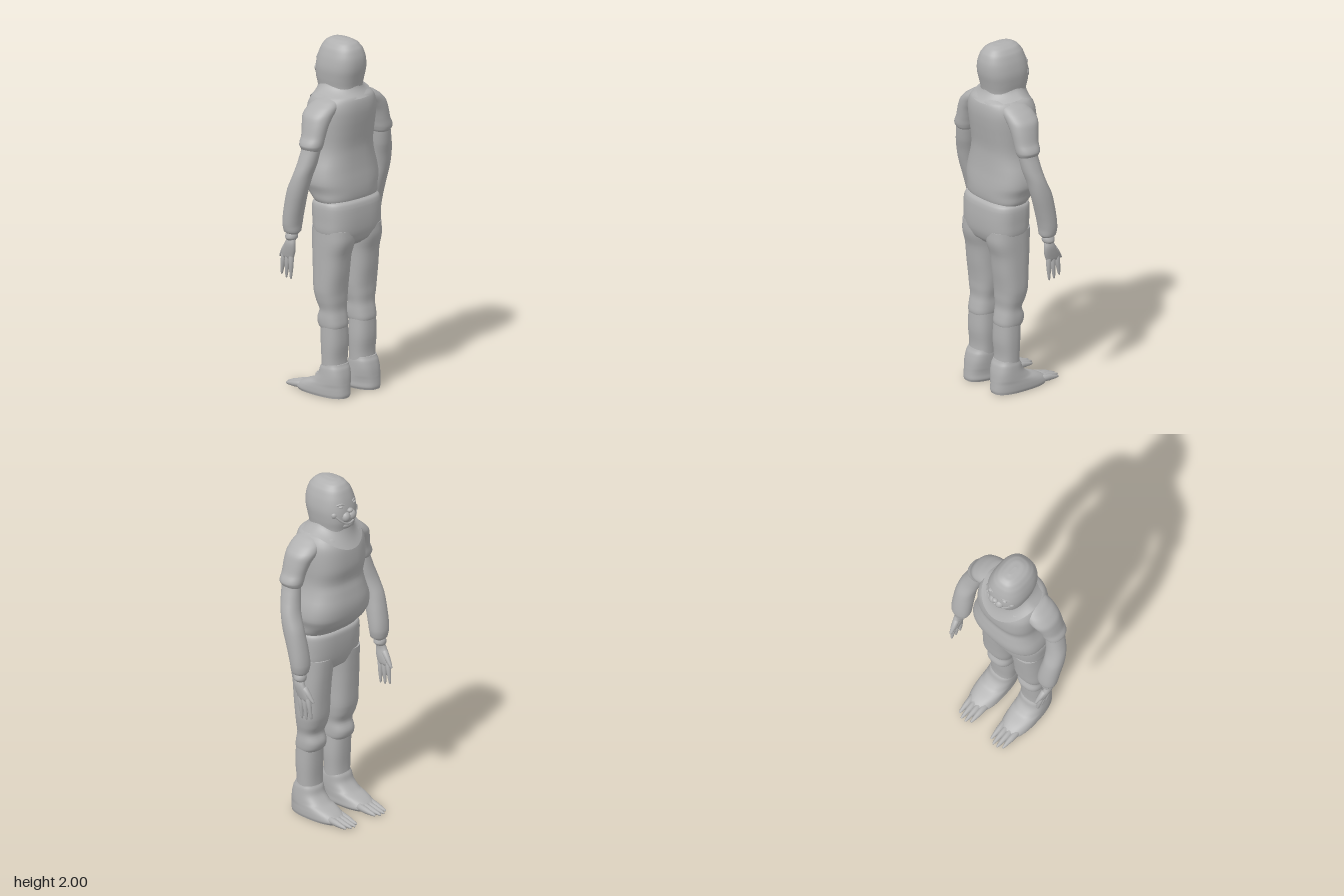
import * as THREE from 'three';

const skin = new THREE.MeshStandardMaterial({ color: 0xb0b0b0 });
skin.name = 'plain grey';
const skinOpen = new THREE.MeshStandardMaterial({ color: 0xb0b0b0, side: THREE.DoubleSide });
skinOpen.name = 'plain grey cloth';

const V = (x, y, z) => new THREE.Vector3(x, y, z);

function add(group, name, geometry, material = skin) {
  const mesh = new THREE.Mesh(geometry, material);
  mesh.name = name;
  group.add(mesh);
  return mesh;
}

// Cubic blend of the values of four neighbouring sections
function blend(a, b, c, d, t) {
  const m0 = (c - a) / 2, m1 = (d - b) / 2, t2 = t * t, t3 = t2 * t;
  return (2 * t3 - 3 * t2 + 1) * b + (t3 - 2 * t2 + t) * m0 + (3 * t2 - 2 * t3) * c + (t3 - t2) * m1;
}

// Smooth body through level sections [y, xMin, xMax, zMin, zMax], listed upwards
function loft(sections, power = 2.5, side = 1, n = 40, steps = 4) {
  const rows = [];
  const last = sections.length - 1;
  const at = (i) => sections[Math.min(last, Math.max(0, i))];
  for (let i = 0; i < last; i++) {
    for (let k = 0; k < steps; k++) {
      rows.push(at(i).map((v, j) => (j === 0
        ? v + (at(i + 1)[0] - v) * k / steps
        : blend(at(i - 1)[j], v, at(i + 1)[j], at(i + 2)[j], k / steps))));
    }
  }
  rows.push(at(last));
  const pos = [], index = [];
  const round = (v) => Math.sign(v) * Math.pow(Math.abs(v), 2 / power);
  const ring = ([y, x0, x1, z0, z1]) => {
    for (let j = 0; j < n; j++) {
      const a = j / n * Math.PI * 2;
      pos.push(side * (x0 + x1) / 2 + round(Math.cos(a)) * (x1 - x0) / 2, y,
        (z0 + z1) / 2 + round(Math.sin(a)) * (z1 - z0) / 2);
    }
  };
  rows.forEach(ring);
  for (let i = 0; i < rows.length - 1; i++) {
    for (let j = 0; j < n; j++) {
      const a = i * n + j, b = i * n + (j + 1) % n;
      index.push(a, a + n, b, b, a + n, b + n);
    }
  }
  // Flat ends with their own vertices
  [rows[0], rows[rows.length - 1]].forEach((r, top) => {
    const start = pos.length / 3;
    ring(r);
    pos.push(side * (r[1] + r[2]) / 2, r[0], (r[3] + r[4]) / 2);
    for (let j = 0; j < n; j++) {
      const a = start + j, b = start + (j + 1) % n;
      index.push(start + n, top ? b : a, top ? a : b);
    }
  });
  const g = new THREE.BufferGeometry();
  g.setAttribute('position', new THREE.Float32BufferAttribute(pos, 3));
  g.setIndex(index);
  g.computeVertexNormals();
  return g;
}

// Rounded, tapering finger or toe from one point to another
function digit(from, to, r0, r1) {
  const len = from.distanceTo(to);
  const profile = [[0.001, 0], [r0, 0.01], [(r0 * 2 + r1) / 3, len * 0.5], [r1, len * 0.85], [r1 * 0.6, len * 0.97], [0.0005, len]];
  const g = new THREE.LatheGeometry(profile.map(([r, y]) => new THREE.Vector2(r, y)), 12);
  const q = new THREE.Quaternion().setFromUnitVectors(V(0, 1, 0), to.clone().sub(from).normalize());
  return g.applyQuaternion(q).translate(from.x, from.y, from.z);
}

function ball(x, y, z, rx, ry, rz) {
  return new THREE.SphereGeometry(1, 24, 16).scale(rx, ry, rz).translate(x, y, z);
}

function tube(points, radius) {
  return new THREE.TubeGeometry(new THREE.CatmullRomCurve3(points), 32, radius, 8);
}

// Symmetric section about x = 0
const mid = (y, w, z0, z1) => [y, -w, w, z0, z1];

// Hanging hood hem, dipping to a point in front
function collarGeometry() {
  const n = 64, rows = 6, pos = [], index = [];
  for (let i = 0; i <= rows; i++) {
    const t = i / rows, flare = t * t;
    for (let j = 0; j < n; j++) {
      const a = j / n * Math.PI * 2, c = Math.cos(a), s = Math.sin(a);
      const front = Math.max(0, -s), back = Math.max(0, s);
      const hem = 1.715 - 0.095 * Math.pow(front, 1.6) - 0.03 * back;
      pos.push(c * (0.104 + 0.061 * flare), 1.765 + (hem - 1.765) * t,
        0.042 + s * (0.121 + flare * (s < 0 ? 0.042 : 0.05)));
    }
  }
  for (let i = 0; i < rows; i++) {
    for (let j = 0; j < n; j++) {
      const a = i * n + j, b = i * n + (j + 1) % n;
      index.push(a, b, a + n, b, b + n, a + n);
    }
  }
  const g = new THREE.BufferGeometry();
  g.setAttribute('position', new THREE.Float32BufferAttribute(pos, 3));
  g.setIndex(index);
  g.computeVertexNormals();
  return g;
}

export function createModel() {
  const model = new THREE.Group();
  model.name = 'standing figure';

  // Shirt with a rounded belly, and the seat of the trousers
  add(model, 'shirt', loft([
    mid(1.09, 0.185, -0.02, 0.19), mid(1.12, 0.2, -0.04, 0.2), mid(1.16, 0.208, -0.08, 0.203),
    mid(1.21, 0.225, -0.105, 0.2), mid(1.28, 0.218, -0.112, 0.192), mid(1.36, 0.193, -0.1, 0.187),
    mid(1.42, 0.184, -0.09, 0.188), mid(1.5, 0.188, -0.107, 0.2), mid(1.58, 0.19, -0.108, 0.212),
    mid(1.64, 0.185, -0.1, 0.215), mid(1.69, 0.16, -0.075, 0.205), mid(1.72, 0.1, -0.04, 0.17)], 2.6));
  add(model, 'trouserSeat', loft([
    mid(0.85, 0.12, 0.03, 0.17), mid(0.88, 0.17, -0.01, 0.205), mid(0.93, 0.2, -0.03, 0.222),
    mid(1.0, 0.203, -0.04, 0.226), mid(1.07, 0.203, -0.042, 0.222), mid(1.1, 0.196, -0.035, 0.213),
    mid(1.12, 0.17, 0, 0.19)], 2.8));

  // Hooded head and its hem
  add(model, 'head', loft([
    mid(1.68, 0.11, -0.07, 0.165), mid(1.73, 0.105, -0.078, 0.165), mid(1.78, 0.112, -0.09, 0.175),
    mid(1.84, 0.117, -0.09, 0.189), mid(1.9, 0.108, -0.078, 0.19), mid(1.95, 0.09, -0.06, 0.175),
    mid(1.98, 0.067, -0.038, 0.15), mid(1.995, 0.04, -0.01, 0.12), mid(2.0, 0.01, 0.025, 0.08)], 2.5));
  add(model, 'collar', collarGeometry(), skinOpen);

  // Face: muzzle, nose, grin and eyes
  const faceZ = (x) => 0.04 - 0.128 * Math.pow(1 - Math.pow(Math.abs(x) / 0.113, 2.5), 0.4);
  add(model, 'nose', ball(0, 1.845, -0.095, 0.018, 0.013, 0.016));
  add(model, 'chin', ball(0, 1.755, -0.068, 0.045, 0.025, 0.026));
  const grin = [];
  for (let i = -6; i <= 6; i++) {
    const x = i * 0.0135;
    grin.push(V(x, 1.765 + 0.055 * (i / 6) ** 2, faceZ(x) - 0.002));
  }
  add(model, 'grin', tube(grin, 0.006));

  for (const s of [1, -1]) {
    const side = s > 0 ? 'left' : 'right';
    const name = (part) => side + part;
    add(model, name('Muzzle'), ball(s * 0.022, 1.808, -0.083, 0.027, 0.03, 0.026));
    add(model, name('Cheek'), ball(s * 0.078, 1.825, -0.05, 0.02, 0.02, 0.018));
    add(model, name('Eye'), ball(s * 0.05, 1.872, -0.073, 0.014, 0.007, 0.012));
    add(model, name('Brow'), tube([V(s * 0.03, 1.882, -0.08), V(s * 0.05, 1.888, -0.074), V(s * 0.072, 1.88, -0.06)], 0.005));

    // Trouser leg, gathered over the knee, and bare shin
    add(model, name('TrouserLeg'), loft([
      [0.37, 0.045, 0.175, 0.05, 0.165], [0.4, 0.034, 0.185, 0.022, 0.175], [0.44, 0.032, 0.187, 0.015, 0.17],
      [0.49, 0.034, 0.184, 0.032, 0.16], [0.54, 0.026, 0.195, 0.012, 0.163], [0.6, 0.02, 0.204, -0.003, 0.166],
      [0.7, 0.018, 0.204, -0.01, 0.18], [0.8, 0.014, 0.203, -0.018, 0.192], [0.88, 0.006, 0.202, -0.025, 0.215],
      [0.95, 0.0, 0.2, -0.03, 0.215]], 2.5, s));
    add(model, name('Shin'), loft([
      [0.1, 0.035, 0.18, 0.04, 0.18], [0.2, 0.034, 0.182, 0.045, 0.167], [0.3, 0.03, 0.185, 0.04, 0.176],
      [0.42, 0.036, 0.183, 0.035, 0.172]], 2.4, s));

    // Foot with four toes
    add(model, name('Foot'), loft([
      [0, 0.042, 0.195, -0.135, 0.205], [0.015, 0.033, 0.2, -0.15, 0.209], [0.04, 0.034, 0.2, -0.125, 0.207],
      [0.06, 0.034, 0.198, -0.085, 0.205], [0.08, 0.034, 0.196, -0.025, 0.203], [0.12, 0.033, 0.192, 0.02, 0.198],
      [0.16, 0.034, 0.187, 0.035, 0.188], [0.185, 0.04, 0.18, 0.05, 0.175]], 2.5, s));
    [[0.073, -0.216], [0.1, -0.232], [0.128, -0.232], [0.156, -0.215]].forEach(([x, z], i) =>
      add(model, name('Toe' + (i + 1)), digit(V(s * (x + (x - 0.114) * 0.04), 0.027, -0.085), V(s * x, 0.009, z), 0.021, 0.01)));

    // Short sleeve running into the shoulder
    add(model, name('Sleeve'), loft([
      [1.41, 0.232, 0.306, 0.04, 0.13], [1.43, 0.218, 0.318, 0.025, 0.147], [1.455, 0.208, 0.329, 0.018, 0.156],
      [1.5, 0.195, 0.308, 0.014, 0.158], [1.56, 0.17, 0.293, 0.0, 0.162], [1.61, 0.13, 0.276, -0.015, 0.165],
      [1.65, 0.09, 0.236, -0.01, 0.165], [1.68, 0.06, 0.19, 0.01, 0.155], [1.7, 0.05, 0.145, 0.04, 0.13]], 2.2, s));

    // Forearm with a baggy lower end, wrist and cuff
    add(model, name('Forearm'), loft([
      [0.935, 0.282, 0.338, -0.048, 0.015], [0.95, 0.262, 0.358, -0.06, 0.028], [1.0, 0.252, 0.368, -0.066, 0.034],
      [1.1, 0.255, 0.371, -0.052, 0.06], [1.2, 0.26, 0.371, -0.028, 0.09], [1.28, 0.25, 0.362, 0.005, 0.11],
      [1.35, 0.235, 0.342, 0.022, 0.13], [1.45, 0.222, 0.315, 0.035, 0.145]], 2.2, s));
    add(model, name('Cuff'), loft([
      [0.9, 0.29, 0.34, -0.05, 0.006], [0.912, 0.278, 0.35, -0.054, 0.014], [0.928, 0.28, 0.348, -0.054, 0.016],
      [0.945, 0.285, 0.342, -0.048, 0.012]], 2, s));

    // Hand with three fingers and a thumb
    add(model, name('Palm'), loft([
      [0.785, 0.302, 0.322, -0.088, -0.015], [0.8, 0.296, 0.33, -0.095, -0.005], [0.84, 0.296, 0.338, -0.08, 0.008],
      [0.88, 0.302, 0.342, -0.058, 0.012], [0.915, 0.298, 0.336, -0.045, 0.008]], 2.2, s));
    [[-0.02, -0.03, 0.67], [-0.048, -0.064, 0.672], [-0.077, -0.1, 0.685]].forEach(([z0, z1, y], i) =>
      add(model, name('Finger' + (i + 1)), digit(V(s * 0.315, 0.815, z0), V(s * 0.309, y, z1), 0.0155, 0.008)));
    add(model, name('Thumb'), digit(V(s * 0.318, 0.87, -0.045), V(s * 0.306, 0.785, -0.116), 0.019, 0.009));
  }
  return model;
}
